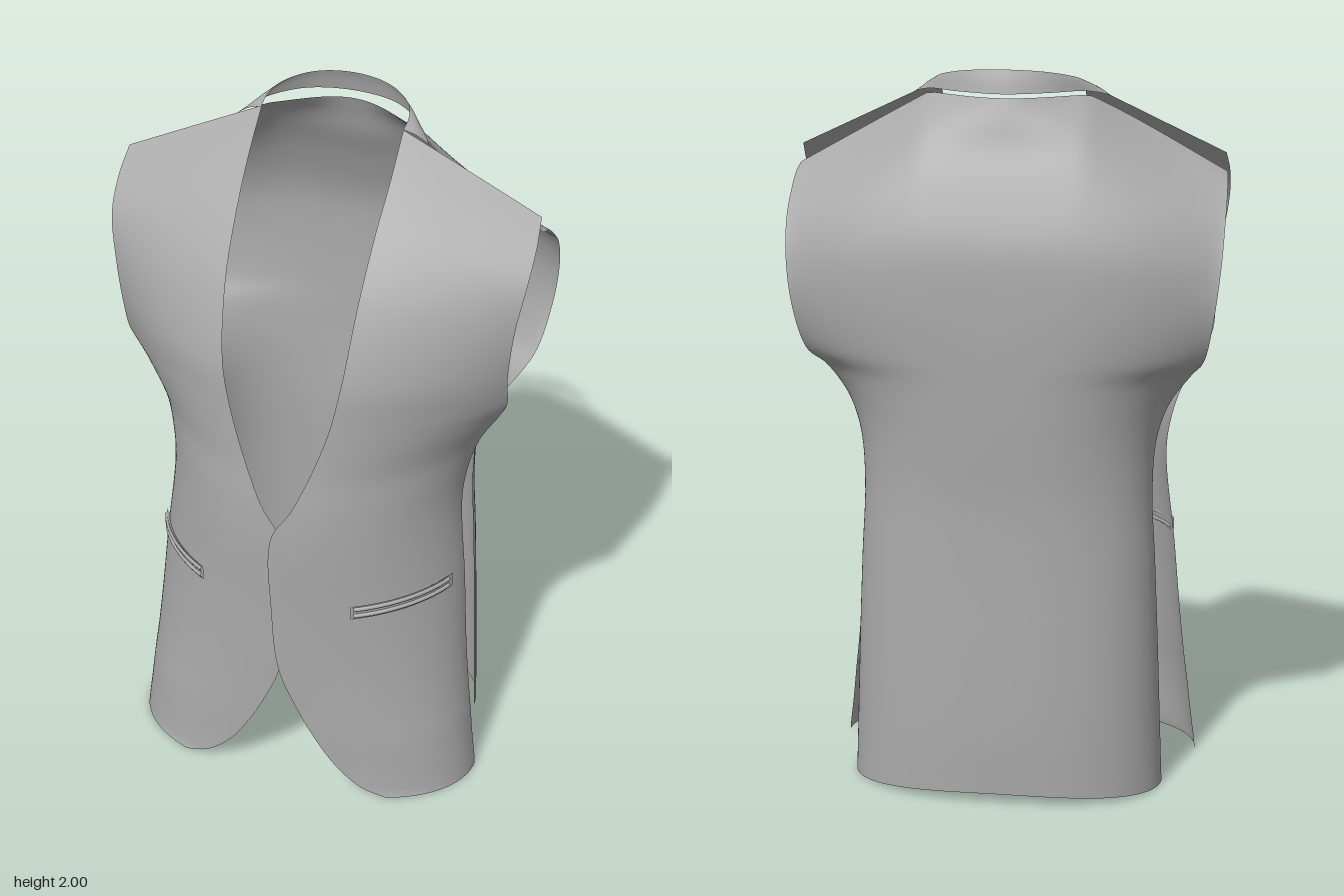
import * as THREE from 'three';

const cloth = new THREE.MeshStandardMaterial({ color: 0xaaaaaa, side: THREE.DoubleSide });
cloth.name = 'grey cloth';

// Smooth sheet through a list of columns, each a list of points from bottom to top
function sheet(name, columns, nv) {
  const pos = [], index = [];
  for (const points of columns) {
    const curve = new THREE.CatmullRomCurve3(points);
    for (let j = 0; j <= nv; j++) pos.push(...curve.getPoint(j / nv).toArray());
  }
  for (let i = 0; i < columns.length - 1; i++) {
    for (let j = 0; j < nv; j++) {
      const a = i * (nv + 1) + j, b = a + nv + 1;
      index.push(a, b, a + 1, b, b + 1, a + 1);
    }
  }
  const geo = new THREE.BufferGeometry();
  geo.setAttribute('position', new THREE.Float32BufferAttribute(pos, 3));
  geo.setIndex(index);
  geo.computeVertexNormals();
  const mesh = new THREE.Mesh(geo, cloth);
  mesh.name = name;
  return mesh;
}

// Rounded cross-section: 1 at the centre line, 0 at the side edge
const bulge = (s, p, q) => Math.pow(Math.max(0, 1 - Math.pow(Math.abs(s), p)), q);

// Front rows: inner y, outer y, inner x, outer x, side z, centre z, p, q
const FRONT = [
  [0, 0, 0.31, 0.51, 0.105, 0.372, 2.6, 0.5],
  [0.03, 0.03, 0.24, 0.507, 0.103, 0.366, 2.6, 0.5],
  [0.1, 0.1, 0.165, 0.498, 0.1, 0.364, 2.6, 0.5],
  [0.2, 0.2, 0.1, 0.487, 0.095, 0.367, 2.5, 0.52],
  [0.3, 0.3, 0.05, 0.475, 0.088, 0.37, 2.3, 0.54],
  [0.43, 0.43, 0, 0.462, 0.08, 0.374, 2.1, 0.56],
  [0.65, 0.65, -0.018, 0.444, 0.06, 0.38, 2, 0.59],
  [0.9, 0.9, -0.014, 0.42, 0.035, 0.388, 2, 0.6],
  [1.0, 1.0, 0.042, 0.43, 0.025, 0.385, 2, 0.65],
  [1.1, 1.1, 0.085, 0.46, 0.025, 0.376, 2, 0.77],
  [1.2, 1.2, 0.12, 0.515, 0.042, 0.368, 2, 0.9],
  [1.27, 1.26, 0.14, 0.541, 0.065, 0.363, 2, 1],
  [1.4, 1.36, 0.165, 0.546, 0.095, 0.35, 2, 1],
  [1.6, 1.51, 0.182, 0.56, 0.1, 0.267, 2, 1],
  [1.75, 1.63, 0.19, 0.578, 0.07, 0.147, 2, 1],
  [1.85, 1.71, 0.195, 0.582, 0.005, 0.042, 2, 1],
  [1.95, 1.77, 0.195, 0.575, -0.06, -0.07, 2, 1],
];

// Back rows: centre y, outer y, half width, side z, centre z, p, q
const BACK = [
  [0, 0, 0.435, -0.14, -0.375, 2.6, 0.5],
  [0.2, 0.2, 0.427, -0.142, -0.378, 2.6, 0.5],
  [0.43, 0.43, 0.418, -0.144, -0.374, 2.6, 0.5],
  [0.65, 0.65, 0.408, -0.145, -0.368, 2.6, 0.5],
  [0.85, 0.85, 0.398, -0.145, -0.367, 2.6, 0.52],
  [1.0, 1.0, 0.408, -0.147, -0.375, 2.6, 0.58],
  [1.1, 1.1, 0.442, -0.15, -0.38, 2.7, 0.68],
  [1.18, 1.18, 0.498, -0.165, -0.383, 2.8, 0.85],
  [1.25, 1.24, 0.538, -0.235, -0.385, 3, 1.1],
  [1.4, 1.37, 0.565, -0.283, -0.386, 3.6, 1.6],
  [1.55, 1.5, 0.58, -0.275, -0.376, 3.6, 1.6],
  [1.7, 1.6, 0.585, -0.23, -0.325, 3.2, 1.4],
  [1.8, 1.66, 0.585, -0.17, -0.28, 2.5, 1.7],
  [1.87, 1.7, 0.583, -0.12, -0.257, 2, 3],
  [1.925, 1.72, 0.58, -0.07, -0.238, 2, 7],
];

function frontPanel(side) {
  const columns = [], n = 32;
  for (let i = 0; i <= n; i++) {
    const t = Math.sin((i / n) * Math.PI / 2);
    columns.push(FRONT.map(([yi, yo, xi, xo, zo, zc, p, q]) => {
      const x = xi + (xo - xi) * t;
      return new THREE.Vector3(side * x, yi + (yo - yi) * t, zo + (zc - zo) * bulge(x / xo, p, q));
    }));
  }
  return sheet(side > 0 ? 'leftFrontPanel' : 'rightFrontPanel', columns, 80);
}

function backPanel() {
  const columns = [], n = 32;
  for (let i = -n; i <= n; i++) {
    const s = Math.sin((i / n) * Math.PI / 2);
    columns.push(BACK.map(([yi, yo, xo, zo, zc, p, q]) => {
      const drop = Math.max(0, (Math.abs(s) - 0.37) / 0.63);
      const hem = yi === 0 ? 0.03 * (1 - s * s) : 0; // hem lifts at the middle
      return new THREE.Vector3(s * xo, yi + (yo - yi) * drop + hem, zo + (zc - zo) * bulge(s, p, q));
    }));
  }
  return sheet('backPanel', columns, 80);
}

// Collar band around the back of the neck, joining both shoulders
function collar() {
  const arc = (half) => {
    const mirrored = half.slice(0, -1).reverse().map(([x, y, z]) => [-x, y, z]);
    return new THREE.CatmullRomCurve3([...half, ...mirrored].map((v) => new THREE.Vector3(...v)));
  };
  const lower = arc([[0.265, 1.917, -0.072], [0.24, 1.928, -0.11], [0.2, 1.938, -0.16],
    [0.12, 1.94, -0.228], [0, 1.938, -0.257]]);
  const upper = arc([[0.195, 1.95, -0.069], [0.194, 1.964, -0.12], [0.173, 1.978, -0.17],
    [0.105, 1.994, -0.22], [0, 2.0, -0.24]]);
  const columns = [], n = 48;
  for (let i = 0; i <= n; i++) {
    const a = lower.getPoint(i / n), b = upper.getPoint(i / n);
    const mid = a.clone().lerp(b, 0.5).add(new THREE.Vector3(0, 0.006, 0));
    columns.push([a, mid, b]);
  }
  return sheet('collar', columns, 6);
}

// Welt pocket: a thin backing strip and two slim welts following the front
function pocket(side, x0, x1, y0, rise) {
  const group = new THREE.Group();
  group.name = side > 0 ? 'leftPocket' : 'rightPocket';
  const at = (t, dy, lift) => {
    const x = x0 + (x1 - x0) * t, s = x / 0.443;
    const z = 0.058 + 0.322 * bulge(s, 2, 0.59);
    const out = new THREE.Vector2(s / 0.443, (z - 0.058) / 0.322 / 0.322).normalize();
    return new THREE.Vector3(side * (x + out.x * lift), y0 + rise * t + dy, z + out.y * lift);
  };
  const steps = Array.from({ length: 13 }, (_, i) => i / 12);
  group.add(sheet('pocketBacking', steps.map((t) => [at(t, -0.022, 0.004), at(t, 0.022, 0.004)]), 2));
  for (const dy of [-0.011, 0.011]) {
    const curve = new THREE.CatmullRomCurve3(steps.map((t) => at(0.03 + 0.94 * t, dy, 0.003)));
    const welt = new THREE.Mesh(new THREE.TubeGeometry(curve, 20, 0.007, 8), cloth);
    welt.name = 'pocketWelt';
    group.add(welt);
  }
  return group;
}

export function createModel() {
  const model = new THREE.Group();
  model.name = 'waistcoat';
  const left = new THREE.Group();
  left.name = 'leftFront';
  left.add(frontPanel(1), pocket(1, 0.2, 0.425, 0.667, 0.022));
  const right = new THREE.Group();
  right.name = 'rightFront';
  right.add(frontPanel(-1), pocket(-1, 0.24, 0.435, 0.672, 0.006));
  right.position.z = -0.005; // tucked under the overlapping edge
  model.add(left, right, backPanel(), collar());
  return model;
}
